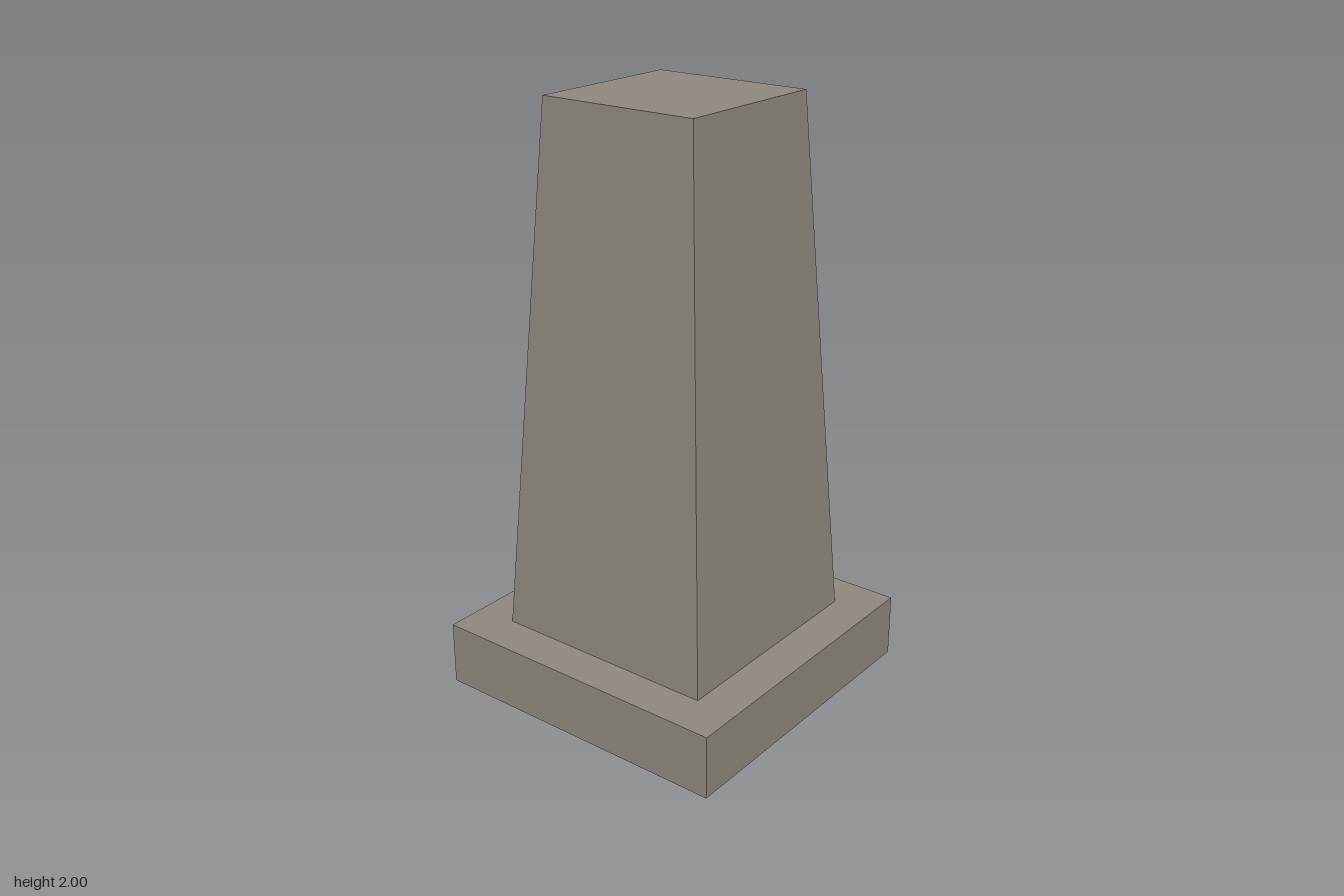
import * as THREE from 'three';

// Square block with separate bottom and top half-widths, standing from y0 to y1
function taperedBlock(name, bottom, top, y0, y1, material) {
  const geometry = new THREE.BoxGeometry(2, y1 - y0, 2);
  geometry.translate(0, (y0 + y1) / 2, 0);
  const p = geometry.attributes.position;
  const middle = (y0 + y1) / 2;
  for (let i = 0; i < p.count; i++) {
    const half = p.getY(i) > middle ? top : bottom;
    p.setX(i, p.getX(i) * half);
    p.setZ(i, p.getZ(i) * half);
  }
  geometry.computeVertexNormals();
  const mesh = new THREE.Mesh(geometry, material);
  mesh.name = name;
  return mesh;
}

export function createModel() {
  const group = new THREE.Group();
  group.name = 'stonePedestal';
  const stone = new THREE.MeshStandardMaterial({ color: 0x8f887e });
  stone.name = 'stone';

  // Flat square plinth
  group.add(taperedBlock('plinth', 0.538, 0.538, 0, 0.218, stone));
  // Tapering shaft with a flat top
  group.add(taperedBlock('shaft', 0.396, 0.283, 0.218, 2, stone));
  return group;
}
